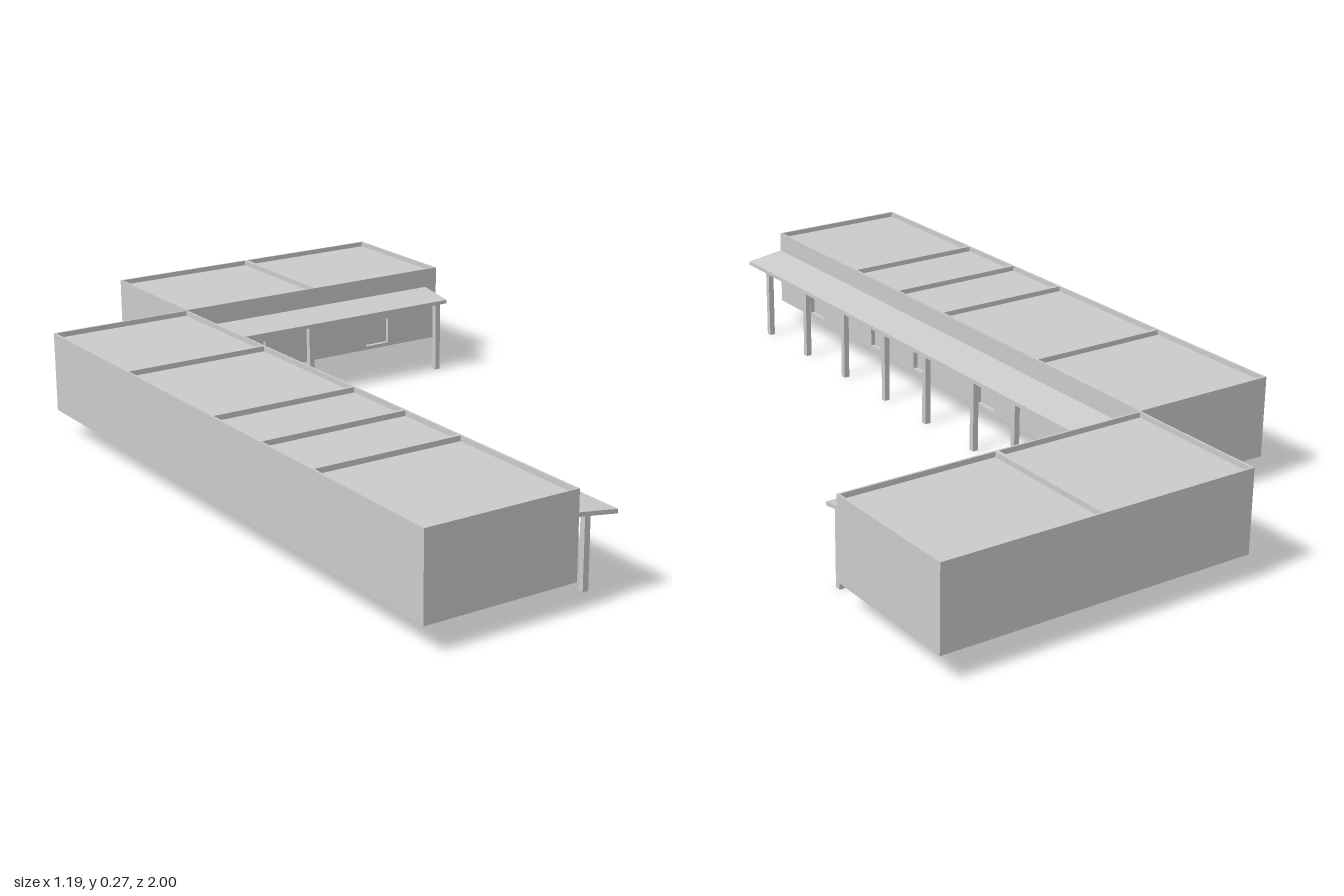
import * as THREE from 'three';

const FLOOR = 0.065, ROOF = 0.257, TOP = 0.27;   // module heights
const CORNER_X = -0.212, CORNER_Z = -0.621;      // inner corner of the L plan
const REACH = 0.104;                             // canopy depth
const material = new THREE.MeshStandardMaterial({ color: 0xcccccc, flatShading: true });

function add(parent, name, geometry, x = 0, y = 0, z = 0) {
  const mesh = new THREE.Mesh(geometry, material);
  mesh.name = name;
  mesh.position.set(x, y, z);
  parent.add(mesh);
  return mesh;
}

function rectangle(path, x0, y0, x1, y1) {
  path.moveTo(x0, y0).lineTo(x1, y0).lineTo(x1, y1).lineTo(x0, y1).closePath();
  return path;
}

// One flat-roofed module, its facade on local z = 0 facing +z
function buildModule(width, depth, windowWidth) {
  const group = new THREE.Group();
  group.name = 'buildingModule';
  const skin = 0.012, rim = 0.005, w = width / 2;

  add(group, 'moduleBody', new THREE.BoxGeometry(width, ROOF - FLOOR, depth - skin),
    0, (ROOF + FLOOR) / 2, -(depth + skin) / 2);

  // Facade with a recessed window opening
  const facade = rectangle(new THREE.Shape(), -w, FLOOR, w, ROOF);
  facade.holes.push(rectangle(new THREE.Path(), -windowWidth / 2, 0.075, windowWidth / 2, 0.145));
  add(group, 'facade', new THREE.ExtrudeGeometry(facade, { depth: skin, bevelEnabled: false }), 0, 0, -skin);

  // Parapet rim around the roof
  const parapet = rectangle(new THREE.Shape(), -w, 0, w, depth);
  parapet.holes.push(rectangle(new THREE.Path(), -w + rim, rim, w - rim, depth - rim));
  const rimGeometry = new THREE.ExtrudeGeometry(parapet, { depth: TOP - ROOF, bevelEnabled: false });
  rimGeometry.rotateX(-Math.PI / 2);
  add(group, 'parapet', rimGeometry, 0, ROOF, 0);
  return group;
}

// Canopy slab from plan corners [x, z], falling away from the wall
function canopySlab(corners, wallDistance) {
  const plan = new THREE.Shape(corners.map(([x, z]) => new THREE.Vector2(x, -z)));
  const geometry = new THREE.ExtrudeGeometry(plan, { depth: 0.01, bevelEnabled: false });
  geometry.rotateX(-Math.PI / 2);
  const p = geometry.attributes.position;
  for (let i = 0; i < p.count; i++) {
    const d = wallDistance(p.getX(i), p.getZ(i));
    p.setY(i, p.getY(i) + 0.208 - 0.015 * d / REACH);
  }
  geometry.computeVertexNormals();
  return geometry;
}

export function createModel() {
  const model = new THREE.Group();
  model.name = 'lShapedBuilding';

  // Long wing along z, facade facing +x
  const longWing = new THREE.Group();
  longWing.name = 'longWing';
  const cuts = [CORNER_Z, -0.225, 0.18, 0.388, 0.597, 1];
  for (let i = 0; i < cuts.length - 1; i++) {
    const width = cuts[i + 1] - cuts[i];
    const unit = buildModule(width, 0.385, width > 0.3 ? 0.075 : 0.045);
    unit.rotation.y = Math.PI / 2;
    unit.position.set(CORNER_X, 0, (cuts[i] + cuts[i + 1]) / 2);
    longWing.add(unit);
  }
  model.add(longWing);

  // Short wing along x, facade facing +z
  const shortWing = new THREE.Group();
  shortWing.name = 'shortWing';
  const shortCuts = [CORNER_X, 0.192, 0.597];
  for (let i = 0; i < 2; i++) {
    const unit = buildModule(shortCuts[i + 1] - shortCuts[i], 1 + CORNER_Z, 0.075);
    unit.position.set((shortCuts[i] + shortCuts[i + 1]) / 2, 0, CORNER_Z);
    shortWing.add(unit);
  }
  model.add(shortWing);

  // Two canopy slabs mitred at the inner corner
  const outX = CORNER_X + REACH, outZ = CORNER_Z + REACH, endX = 0.56;
  add(model, 'longCanopy', canopySlab(
    [[CORNER_X, 1], [outX, 1], [outX, outZ], [CORNER_X, CORNER_Z]], (x) => x - CORNER_X));
  add(model, 'shortCanopy', canopySlab(
    [[CORNER_X, CORNER_Z], [outX, outZ], [endX, outZ], [endX, CORNER_Z]], (x, z) => z - CORNER_Z));

  // Canopy posts
  const post = new THREE.BoxGeometry(0.015, 0.198, 0.015);
  for (const z of [0.925, 0.72, 0.52, 0.318, 0.126, -0.086, -0.257, -0.49])
    add(model, 'canopyPost', post, -0.131, 0.099, z);
  for (const x of [0.119, 0.539]) add(model, 'canopyPost', post, x, 0.099, -0.537);

  return model;
}
